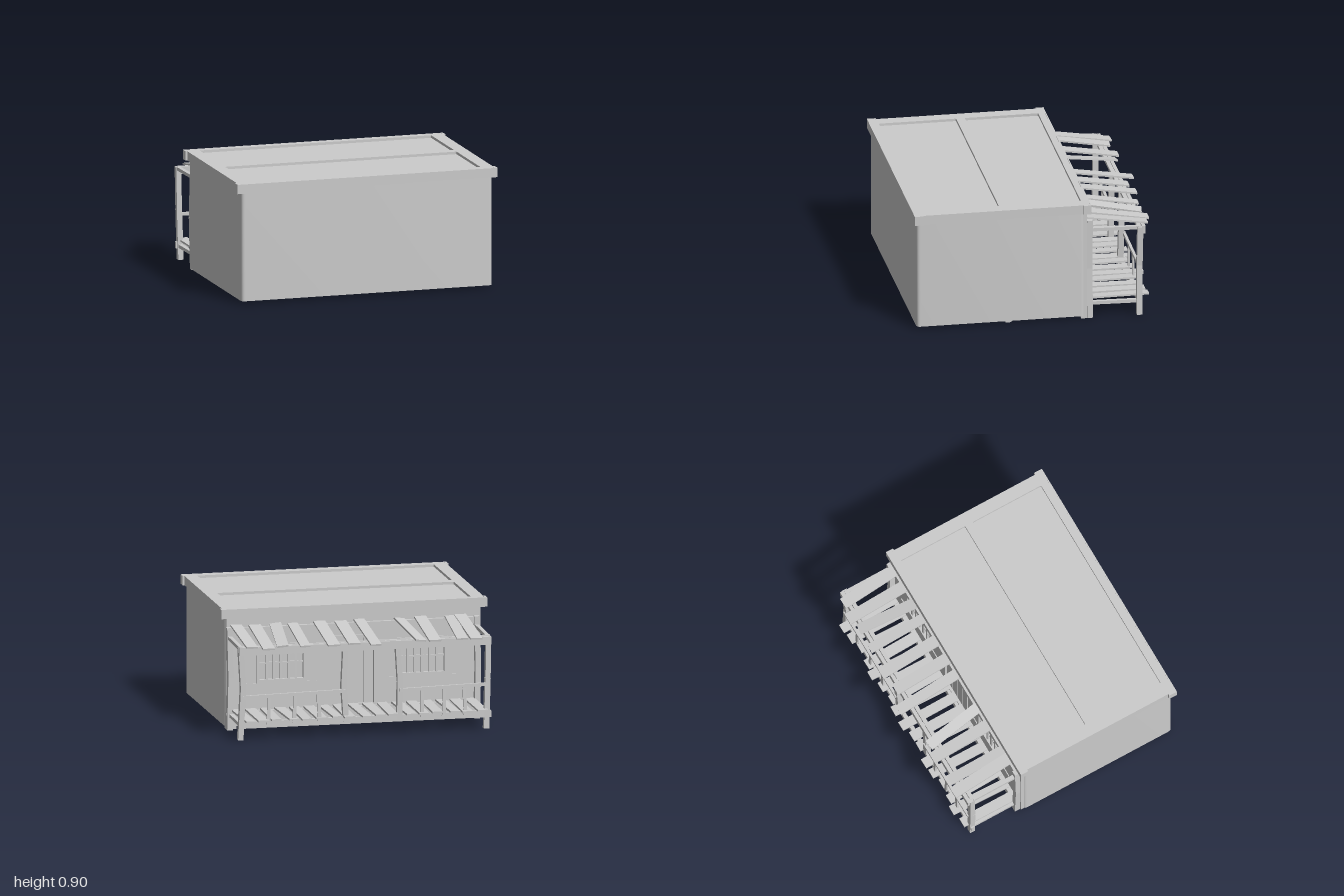
import * as THREE from 'three';
import { toCreasedNormals } from 'three/addons/utils/BufferGeometryUtils.js';

const mat = new THREE.MeshStandardMaterial({ color: 0xcccccc, side: THREE.DoubleSide });
const UP = new THREE.Vector3(0, 1, 0);

export function createModel() {
  const root = new THREE.Group();
  const group = (name) => {
    const g = new THREE.Group();
    g.name = name;
    root.add(g);
    return g;
  };
  const add = (parent, name, geo) => {
    const m = new THREE.Mesh(geo, mat);
    m.name = name;
    parent.add(m);
    return m;
  };
  // Box given by its min and max on each axis
  const box = (parent, name, x0, x1, y0, y1, z0, z1) => {
    const m = add(parent, name, new THREE.BoxGeometry(x1 - x0, y1 - y0, z1 - z0));
    m.position.set((x0 + x1) / 2, (y0 + y1) / 2, (z0 + z1) / 2);
    return m;
  };
  // Timber running from a to b; w is its local x width, d its local z depth
  const beam = (parent, name, a, b, w, d) => {
    const p = new THREE.Vector3(...a), q = new THREE.Vector3(...b);
    const dir = q.clone().sub(p);
    const m = add(parent, name, new THREE.BoxGeometry(w, dir.length(), d));
    m.position.copy(p).add(q).multiplyScalar(0.5);
    m.quaternion.setFromUnitVectors(UP, dir.normalize());
    return m;
  };
  const rect = (P, x0, x1, y0, y1, r = 0) => {
    const s = new P();
    s.moveTo(x0 + r, y0);
    s.lineTo(x1 - r, y0);
    if (r) s.quadraticCurveTo(x1, y0, x1, y0 + r);
    s.lineTo(x1, y1 - r);
    if (r) s.quadraticCurveTo(x1, y1, x1 - r, y1);
    s.lineTo(x0 + r, y1);
    if (r) s.quadraticCurveTo(x0, y1, x0, y1 - r);
    s.lineTo(x0, y0 + r);
    if (r) s.quadraticCurveTo(x0, y0, x0 + r, y0);
    return s;
  };
  const extrude = (shape, depth) => toCreasedNormals(
    new THREE.ExtrudeGeometry(shape, { depth, bevelEnabled: false, curveSegments: 5 }), 0.6);

  // Body: hollow shell, open underneath
  const body = group('body');
  const ring = rect(THREE.Shape, -0.962, 0.966, -0.885, 0.365, 0.03);
  ring.holes.push(rect(THREE.Path, -0.95, 0.954, -0.873, 0.353, 0.025));
  const shell = add(body, 'walls', extrude(ring, 0.815).rotateX(-Math.PI / 2));
  shell.position.y = 0.02;

  // Roof: slab with two sunken panels and wider end fascias
  const roof = group('roof');
  box(roof, 'roofBase', -0.985, 0.985, 0.83, 0.88, -0.405, 0.9);
  const rim = rect(THREE.Shape, -0.985, 0.985, -0.9, 0.405);
  rim.holes.push(rect(THREE.Path, -0.89, 0.89, -0.835, -0.26, 0.01));
  rim.holes.push(rect(THREE.Path, -0.89, 0.89, -0.195, 0.35, 0.01));
  add(roof, 'roofRim', extrude(rim, 0.019).rotateX(-Math.PI / 2)).position.y = 0.88;
  for (const s of [-1, 1]) {
    for (const [z0, z1] of [[-0.41, -0.35], [0.84, 0.905]]) {
      const x0 = s * 0.98, x1 = s * 1;
      box(roof, 'cornerFascia', Math.min(x0, x1), Math.max(x0, x1), 0.83, 0.9, z0, z1);
    }
  }
  box(roof, 'backFascia', -0.99, 0.99, 0.83, 0.9, -0.41, -0.4);
  box(roof, 'frontFascia', -0.99, 0.99, 0.83, 0.9, 0.895, 0.905);

  // Facade on the porch side, with window and door openings
  const facade = group('facade');
  const front = rect(THREE.Shape, -0.955, 0.958, 0.02, 0.83);
  const windows = [[-0.68, -0.35], [0.38, 0.71]];
  for (const [x0, x1] of windows) front.holes.push(rect(THREE.Path, x0, x1, 0.36, 0.6));
  front.holes.push(rect(THREE.Path, -0.15, 0.15, 0.15, 0.64));
  add(facade, 'facadeWall', extrude(front, 0.025)).position.z = -0.385;
  const frame = (name, x0, x1, y0, y1, t) => {
    const s = rect(THREE.Shape, x0 - t, x1 + t, y0 - t, y1 + t);
    s.holes.push(rect(THREE.Path, x0, x1, y0, y1));
    add(facade, name, extrude(s, 0.012)).position.z = -0.397;
  };
  for (const [x0, x1] of windows) {
    frame('windowFrame', x0, x1, 0.36, 0.6, 0.025);
    box(facade, 'wallPanel', x0 - 0.1, x1 + 0.1, 0.24, 0.335, -0.392, -0.384);
    box(facade, 'windowRail', x0, x1, 0.475, 0.487, -0.384, -0.37);
    for (let i = 1; i <= 5; i++) {
      const x = x0 + (x1 - x0) * i / 6;
      box(facade, 'windowBar', x - 0.009, x + 0.009, 0.36, 0.6, -0.389, -0.375);
    }
  }
  frame('doorFrame', -0.15, 0.15, 0.15, 0.64, 0.025);
  for (let i = 0; i < 4; i++) {
    box(facade, 'doorBoard', -0.148 + i * 0.075, -0.077 + i * 0.075, 0.15, 0.638, -0.378, -0.366);
  }

  // Platform under the house and porch: feet, bearers, joists, floor
  const platform = group('platform');
  box(platform, 'innerFloor', -0.93, 0.94, 0.135, 0.15, -0.35, 0.2);
  box(platform, 'innerBearer', -0.93, 0.94, 0.075, 0.135, 0.18, 0.215);
  box(platform, 'middleBearer', -0.93, 0.94, 0.06, 0.135, -0.42, -0.385);
  box(platform, 'outerBearer', -0.94, 0.95, 0.085, 0.135, -0.795, -0.765);
  for (const x of [-0.89, 0.92]) {
    box(platform, 'innerFoot', x - 0.022, x + 0.022, 0, 0.135, 0.175, 0.22);
    box(platform, 'middleFoot', x - 0.04, x + 0.04, 0, 0.12, -0.385, -0.34);
  }
  for (const x of [-0.9, -0.45, 0, 0.45, 0.92]) {
    box(platform, 'innerJoist', x - 0.014, x + 0.014, 0.095, 0.135, -0.385, 0.18);
  }
  for (const x of [-0.91, 0.93]) {
    beam(platform, 'porchJoist', [x, 0.11, -0.42], [x, 0.104, -0.77], 0.03, 0.025);
  }
  for (let i = 0; i < 17; i++) {
    const x = -0.87 + i * 0.11, skew = 0.014 * Math.sin(i * 2.3);
    beam(platform, 'floorPlank', [x, 0.143, -0.39],
      [x + skew, 0.143, -0.835 - 0.02 * Math.sin(i * 1.7)], 0.076 + 0.008 * Math.sin(i * 3.1), 0.014);
  }

  // Porch frame: slightly crooked outer posts, wall posts and top beams
  const porch = group('porchFrame');
  const posts = [[0.945, 0.925, 0.945], [0.15, 0.17, 0.155], [-0.25, -0.255, -0.235], [-0.905, -0.915, -0.92]];
  posts.forEach(([a, b, c], i) => {
    const foot = i % 3 ? 0.1 : 0;
    beam(porch, 'outerPost', [a, foot, -0.775], [b, 0.38, -0.779], 0.04, 0.042);
    beam(porch, 'outerPost', [b, 0.37, -0.779], [c, 0.69, -0.782], 0.038, 0.042);
  });
  for (const x of [-0.92, 0.94]) {
    beam(porch, 'wallPost', [x, 0, -0.407], [x - 0.01, 0.39, -0.404], 0.042, 0.042);
    beam(porch, 'wallPost', [x - 0.01, 0.38, -0.404], [x, 0.765, -0.406], 0.042, 0.042);
    beam(porch, 'sideTopBeam', [x, 0.69, -0.42], [x, 0.683, -0.77], 0.03, 0.025);
  }
  beam(porch, 'wallTopBeam', [-0.93, 0.735, -0.4], [0.95, 0.735, -0.4], 0.05, 0.03);
  beam(porch, 'outerTopBeam', [-0.935, 0.662, -0.807], [0.96, 0.666, -0.807], 0.06, 0.026);
  beam(porch, 'innerTopBeam', [-0.92, 0.685, -0.775], [0.95, 0.685, -0.775], 0.022, 0.03);

  // Railings either side of the entrance
  const railing = group('railing');
  for (const [x0, x1] of [[-0.91, -0.25], [0.16, 0.93]]) {
    beam(railing, 'handrail', [x0, 0.335, -0.8], [x1, 0.32, -0.8], 0.024, 0.02);
    for (let i = 1; i <= 3; i++) {
      const x = x0 + (x1 - x0) * i / 4;
      beam(railing, 'baluster', [x, 0.11, -0.803], [x + 0.012 * Math.sin(i * 2), 0.33, -0.8], 0.026, 0.014);
    }
  }

  // Awning planks: [x at wall, x at outer edge, width, outer z]
  const awning = group('awning');
  const planks = [
    [-0.8, -0.81, 0.09, -0.875], [-0.725, -0.71, 0.08, -0.85], [-0.5, -0.5, 0.09, -0.875],
    [-0.34, -0.4, 0.08, -0.845], [-0.04, -0.05, 0.08, -0.905], [0.1, 0.1, 0.09, -0.845],
    [0.26, 0.26, 0.09, -0.875], [0.46, 0.47, 0.075, -0.85], [0.59, 0.64, 0.085, -0.845],
    [0.745, 0.75, 0.09, -0.875], [0.885, 0.87, 0.085, -0.845],
  ];
  planks.forEach(([xa, xb, w, z], i) => {
    const lift = i % 2 ? 0 : 0.006;
    const y = (zz) => 0.768 + lift + (zz + 0.385) * 0.165;
    beam(awning, 'awningPlank', [xa, y(-0.385), -0.385], [xb, y(z), z], w, 0.013);
  });

  return root;
}
